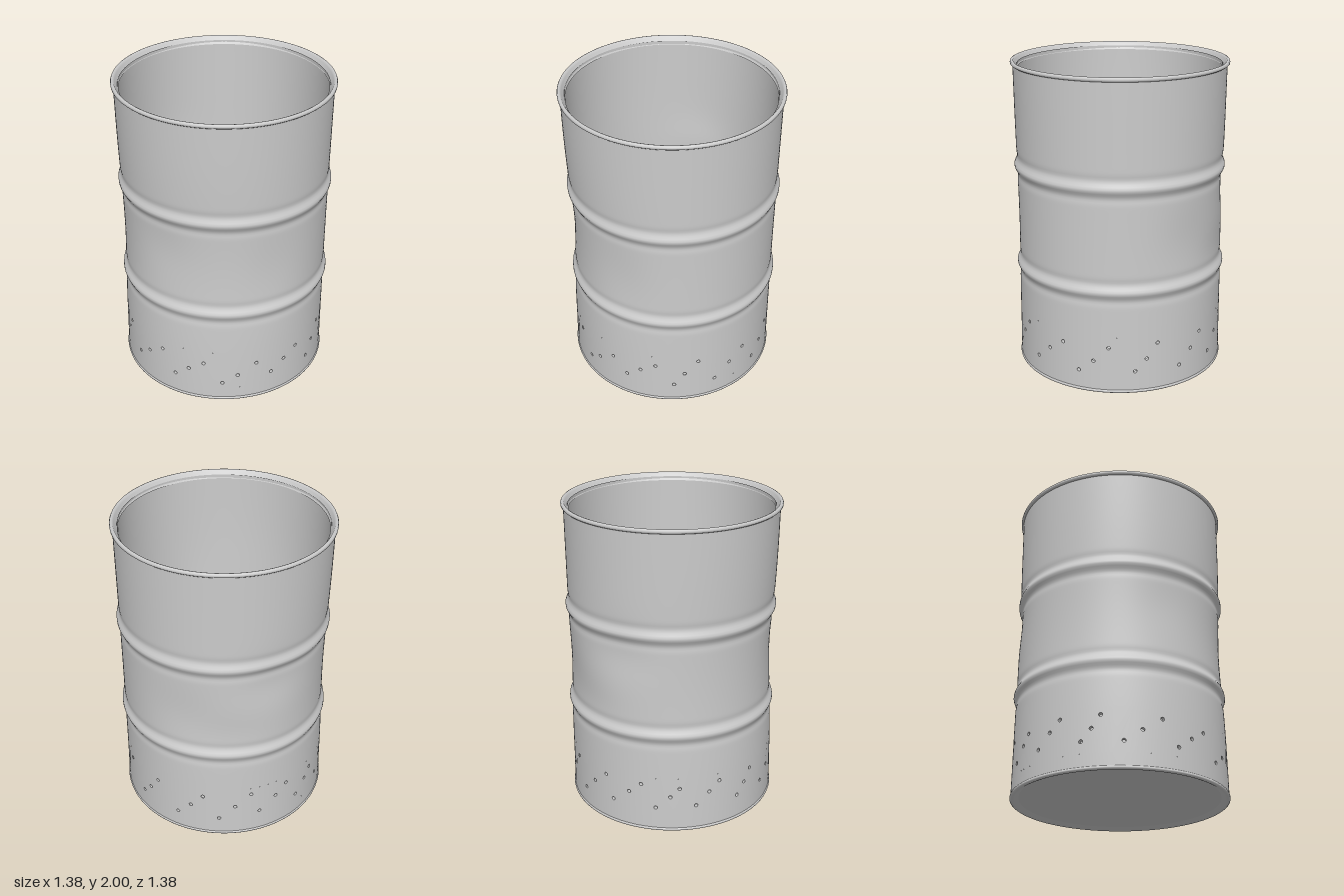
import * as THREE from 'three';
import { mergeGeometries } from 'three/addons/utils/BufferGeometryUtils.js';

const DEG = Math.PI / 180;
const BAND = [0.1, 0.38]; // perforated strip
const BOTTOM = 0.02, TOP = 1.975, HOLE = 0.012, THICKNESS = 0.028;

// Vent holes: angle from the front towards the left side, height
const HOLES = [
  [2.6, 0.29], [13, 0.14], [21.5, 0.2], [32, 0.28], [41, 0.175], [49.3, 0.245], [58, 0.3],
  [68.4, 0.14], [74.4, 0.235], [82, 0.33], [92, 0.14], [101.6, 0.235], [111, 0.31], [120.5, 0.14],
  [128.8, 0.215], [137, 0.31], [151.2, 0.15], [157.5, 0.23], [163.5, 0.33], [177, 0.14], [185, 0.23],
  [192, 0.32], [201, 0.14], [210, 0.24], [219, 0.33], [224, 0.17], [234, 0.26], [241, 0.33],
  [249, 0.17], [257, 0.25], [262, 0.31], [271, 0.18], [278.5, 0.265], [284.5, 0.33], [296.4, 0.175],
  [301.7, 0.25], [306.3, 0.33], [317.8, 0.17], [327, 0.24], [337.2, 0.315], [345.8, 0.16], [354, 0.23],
];

// Dents: angle, height, angular spread, vertical spread, depth
const DENTS = [
  [-5, 1.0, 38, 0.32, 0.025], [-20, 1.1, 11, 0.14, 0.007], [40, 0.95, 11, 0.2, 0.009],
  [230, 1.2, 13, 0.12, 0.015], [182, 0.95, 14, 0.16, 0.012], [207, 0.82, 14, 0.11, 0.008],
  [280, 1.0, 28, 0.35, 0.012],
];

const bump = (d, s) => Math.exp(-0.5 * (d / s) ** 2);

// Wall radius at an angle and height
function wallRadius(a, y, inner) {
  let r = 0.675 - 0.005 * Math.sin(Math.PI * y / 2);
  for (const [da, dy, sa, sy, depth] of DENTS) {
    const d = Math.atan2(Math.sin(a - da * DEG), Math.cos(a - da * DEG)) / DEG;
    r -= depth * bump(d, sa) * bump(y - dy, sy);
  }
  if (inner) return r - THICKNESS + 0.004 * Math.sin(3 * a + 1) * Math.sin(2 * y);
  for (const ry of [0.675, 1.33]) {
    r += 0.017 * bump(y - ry, 0.022) - 0.004 * bump(Math.abs(y - ry) - 0.06, 0.018);
  }
  return r;
}

function wallPoint(a, y, inner) {
  const r = wallRadius(a, y, inner);
  return new THREE.Vector3(r * Math.sin(a), y, r * Math.cos(a));
}

// Wrap a flat (angle, height) sheet onto the wall, with smooth normals
function wrap(geo, inner) {
  const p = geo.attributes.position, n = geo.attributes.normal, e = 0.004;
  for (let i = 0; i < p.count; i++) {
    const a = p.getX(i), y = p.getY(i);
    const du = wallPoint(a + e, y, inner).sub(wallPoint(a - e, y, inner));
    const dv = wallPoint(a, y + e, inner).sub(wallPoint(a, y - e, inner));
    const normal = du.cross(dv).normalize().multiplyScalar(inner ? -1 : 1);
    const v = wallPoint(a, y, inner);
    p.setXYZ(i, v.x, v.y, v.z);
    n.setXYZ(i, normal.x, normal.y, normal.z);
  }
  if (inner) geo.index.array.reverse();
  return geo;
}

// Plain sheet around the whole drum
function sheet(y0, y1, rows) {
  const geo = new THREE.PlaneGeometry(2 * Math.PI, y1 - y0, 144, rows);
  return geo.translate(0, (y0 + y1) / 2, 0);
}

// One sector of the strip, with a hole in it
function sector(i) {
  const n = HOLES.length, [a, y] = HOLES[i];
  const prev = HOLES[(i + n - 1) % n][0] - (i === 0 ? 360 : 0);
  const next = HOLES[(i + 1) % n][0] + (i === n - 1 ? 360 : 0);
  const a0 = (a + prev) / 2 * DEG, a1 = (a + next) / 2 * DEG;
  const steps = Math.max(2, Math.round((a1 - a0) / (1.5 * DEG)));
  const edge = (h) => Array.from({ length: steps + 1 },
    (_, k) => new THREE.Vector2(a0 + (a1 - a0) * k / steps, h));
  const shape = new THREE.Shape([...edge(BAND[0]), ...edge(BAND[1]).reverse()]);
  const ring = [];
  for (let k = 0; k < 12; k++) {
    const t = -k / 12 * 2 * Math.PI;
    ring.push(new THREE.Vector2(a * DEG + Math.cos(t) * HOLE / 0.672, y + Math.sin(t) * HOLE));
  }
  shape.holes.push(new THREE.Path(ring));
  return new THREE.ShapeGeometry(shape);
}

function wall(inner) {
  const parts = [sheet(BOTTOM, BAND[0], 4), sheet(BAND[1], TOP, 110), ...HOLES.map((_, i) => sector(i))];
  return mergeGeometries(parts.map((g) => wrap(g, inner)));
}

function lathe(points) {
  return new THREE.LatheGeometry(points.map(([x, y]) => new THREE.Vector2(x, y)), 128);
}

export function createModel() {
  const group = new THREE.Group();
  const metal = new THREE.MeshStandardMaterial({ color: 0xcccccc });
  const thin = new THREE.MeshStandardMaterial({ color: 0xcccccc, side: THREE.DoubleSide });
  const add = (name, geo, mat = metal) => {
    const mesh = new THREE.Mesh(geo, mat);
    mesh.name = name;
    group.add(mesh);
    return mesh;
  };

  add('outerWall', wall(false));
  add('innerWall', wall(true));

  // Rolled rim with a lip sloping to the inner wall
  add('topRim', lathe([[0.668, 1.972], [0.682, 1.973], [0.689, 1.979], [0.69, 1.988], [0.686, 1.997],
    [0.678, 2], [0.67, 1.997], [0.664, 1.988], [0.642, 1.95]]), thin);
  add('bottomRim', lathe([[0.625, 0.018], [0.655, 0.003], [0.664, 0], [0.672, 0], [0.679, 0.005],
    [0.681, 0.012], [0.678, 0.02], [0.67, 0.024]]), thin);

  // Floor
  add('floor', new THREE.CylinderGeometry(0.645, 0.645, 0.02, 96)).position.y = 0.028;

  // Short sleeves joining the two walls at each hole
  const sleeves = new THREE.Group();
  sleeves.name = 'ventHoles';
  const sleeveGeo = new THREE.CylinderGeometry(HOLE, HOLE, THICKNESS, 12, 1, true).rotateX(Math.PI / 2);
  for (const [deg, y] of HOLES) {
    const a = deg * DEG;
    const mid = (wallRadius(a, y, false) + wallRadius(a, y, true)) / 2;
    const sleeve = new THREE.Mesh(sleeveGeo, thin);
    sleeve.name = 'ventHole';
    sleeve.position.set(mid * Math.sin(a), y, mid * Math.cos(a));
    sleeve.rotation.y = a;
    sleeves.add(sleeve);
  }
  group.add(sleeves);
  return group;
}
